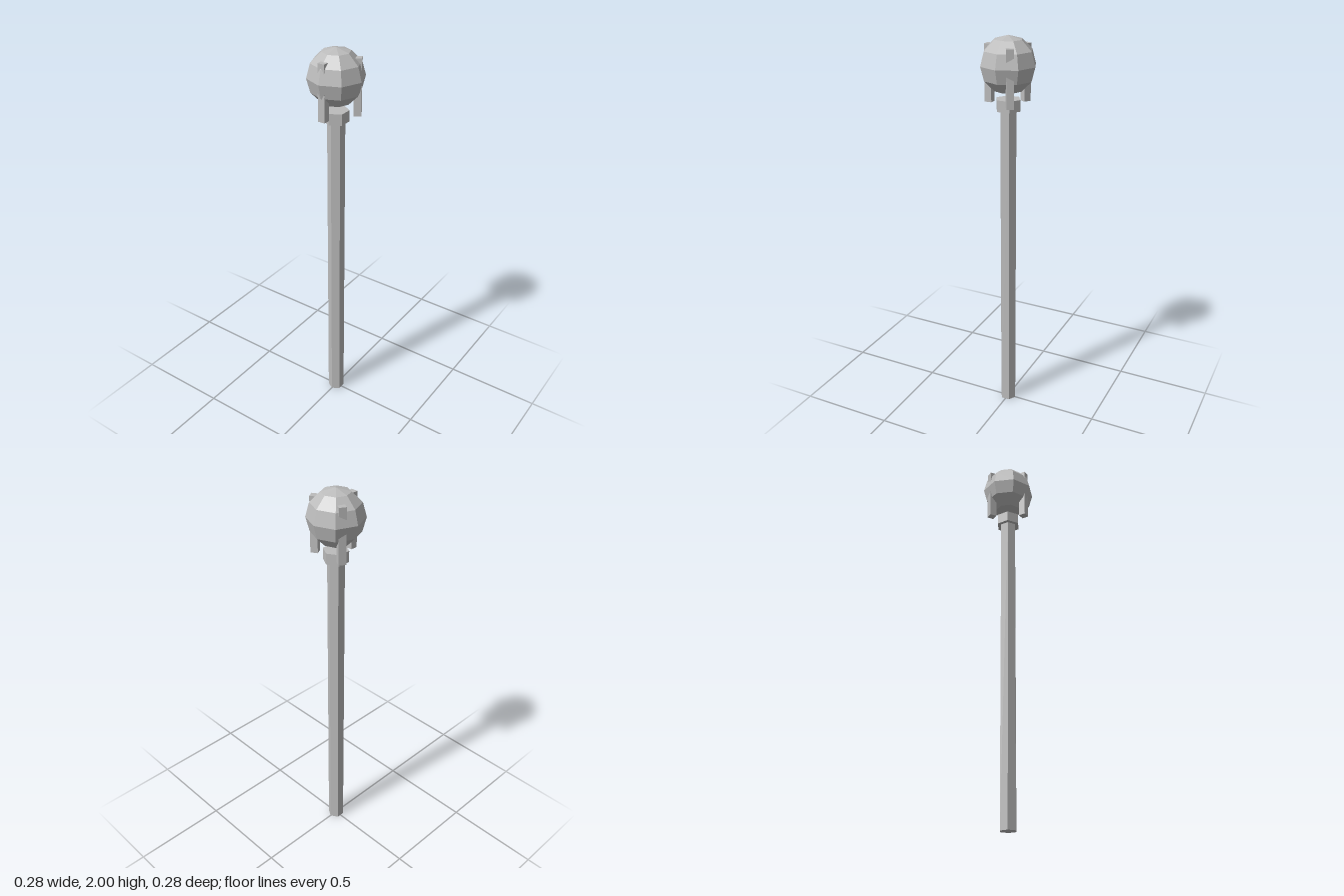
import * as THREE from 'three';

export function createModel() {
  const model = new THREE.Group();
  model.name = 'orbStaff';

  const grey = new THREE.MeshStandardMaterial({ color: 0xbcbcbc, flatShading: true });
  grey.name = 'grey';

  function add(name, geometry, x, y, z) {
    const mesh = new THREE.Mesh(geometry, grey);
    mesh.name = name;
    mesh.position.set(x, y, z);
    model.add(mesh);
    return mesh;
  }

  // Hexagonal shaft and the collar at its top
  add('shaft', new THREE.CylinderGeometry(0.043, 0.043, 1.66, 6), 0, 0.83, 0);
  add('collar', new THREE.CylinderGeometry(0.063, 0.063, 0.056, 6), 0, 1.674, 0);

  // Faceted orb floating above the collar
  add('orb', new THREE.SphereGeometry(0.138, 8, 6), 0, 1.862, 0);

  // Three upright prongs set around the orb, one at the front
  const prong = new THREE.BoxGeometry(0.036, 0.276, 0.036);
  for (let i = 0; i < 3; i++) {
    const angle = (i * Math.PI * 2) / 3;
    const mesh = add('prong' + (i + 1), prong, 0.1 * Math.sin(angle), 1.817, 0.1 * Math.cos(angle));
    mesh.rotation.y = angle;
  }

  return model;
}
